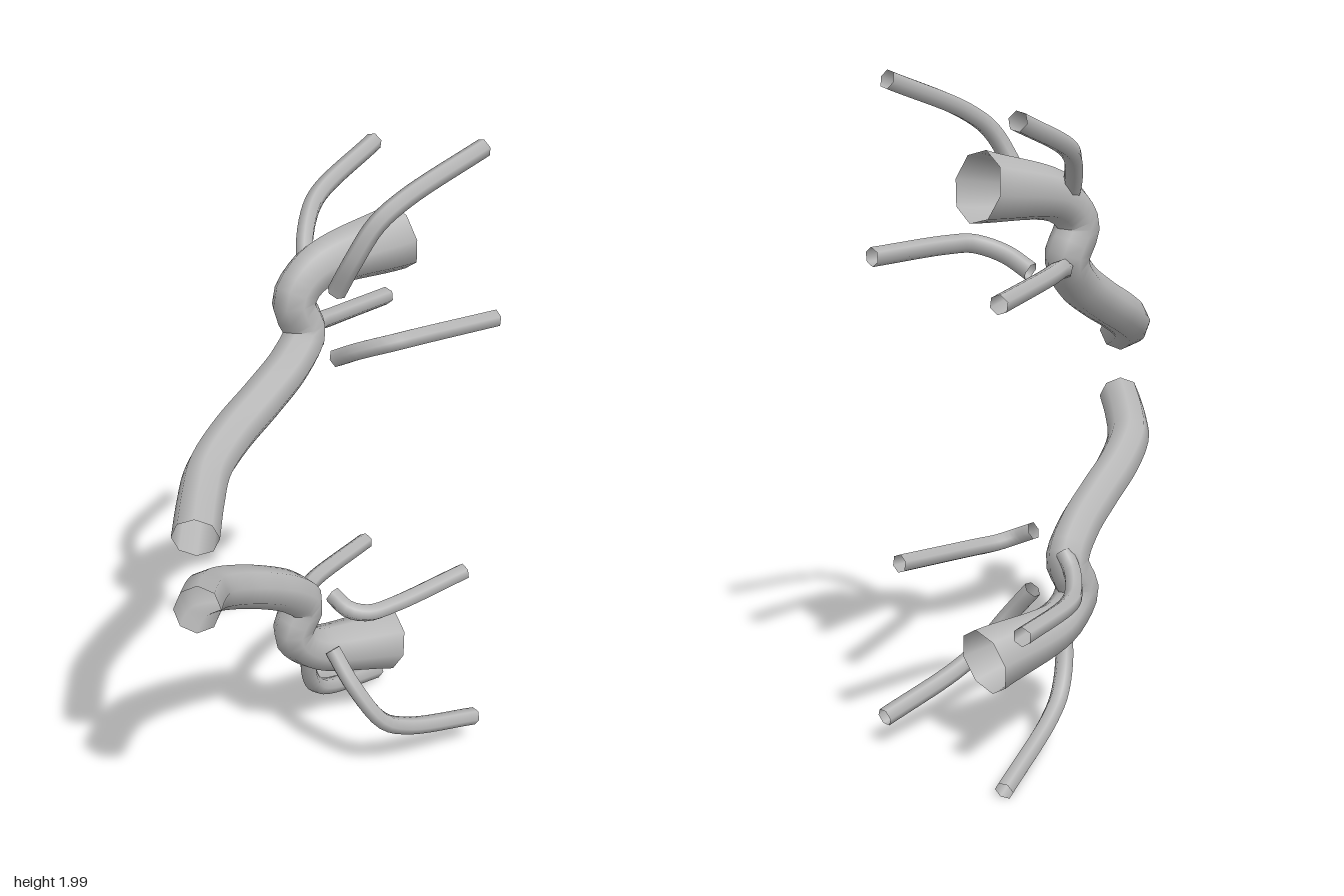
import * as THREE from 'three';

const grey = new THREE.MeshStandardMaterial({ color: 0xb8b8b8, side: THREE.DoubleSide });
grey.name = 'grey';

// Open tube through the points, with a radius that follows a rule along its length
function sweep(name, points, segments, sides, radiusAt) {
  const curve = new THREE.CatmullRomCurve3(points.map((p) => new THREE.Vector3(...p)));
  const geo = new THREE.TubeGeometry(curve, segments, 1, sides, false);
  const pos = geo.attributes.position;
  const nor = geo.attributes.normal;
  const centre = new THREE.Vector3();
  const out = new THREE.Vector3();
  for (let i = 0; i < pos.count; i++) {
    const u = Math.floor(i / (sides + 1)) / segments;
    curve.getPointAt(u, centre);
    out.fromBufferAttribute(nor, i).multiplyScalar(radiusAt(u));
    centre.add(out);
    pos.setXYZ(i, centre.x, centre.y, centre.z);
  }
  const mesh = new THREE.Mesh(geo, grey);
  mesh.name = name;
  return mesh;
}

// Kinked main pipe that widens into an open mouth
const pipePath = [
  [-0.53, 1.11, 0.297], [-0.44, 1.15, 0.19], [-0.36, 1.19, 0.11], [-0.24, 1.245, 0.05],
  [-0.1, 1.31, 0.01], [0.02, 1.38, -0.02], [0.09, 1.455, -0.045], [0.058, 1.55, -0.055],
  [0.13, 1.63, -0.055], [0.42, 1.685, -0.025],
];
const pipeRadius = (u) => 0.066 + 0.036 * Math.max(0, (u - 0.74) / 0.26);

// Each thin branch: first height, then the heights along one of four plan paths
const planPaths = {
  frontInner: [[0.115, 0.07], [0.13, 0.13], [0.18, 0.163], [0.27, 0.175], [0.56, 0.174]],
  frontOuter: [[0.11, 0.08], [0.13, 0.165], [0.19, 0.232], [0.28, 0.247], [0.56, 0.257]],
  backInner: [[0.12, -0.03], [0.13, -0.07], [0.19, -0.11], [0.27, -0.143], [0.56, -0.243]],
  backOuter: [[0.12, -0.06], [0.13, -0.1], [0.19, -0.165], [0.27, -0.22], [0.56, -0.318]],
};
const branches = [
  ['upperFrontHighBranch', 'frontInner', [1.6, 1.71, 1.81, 1.87, 1.97]],
  ['upperBackHighBranch', 'backOuter', [1.6, 1.66, 1.74, 1.79, 1.885]],
  ['upperFrontLowBranch', 'frontOuter', [1.405, 1.45, 1.48, 1.485, 1.48]],
  ['upperBackLowBranch', 'backInner', [1.41, 1.43, 1.44, 1.432, 1.407]],
  ['lowerFrontHighBranch', 'frontInner', [0.62, 0.592, 0.577, 0.58, 0.603]],
  ['lowerBackHighBranch', 'backOuter', [0.58, 0.54, 0.507, 0.5, 0.508]],
  ['lowerFrontLowBranch', 'frontOuter', [0.43, 0.33, 0.22, 0.172, 0.105]],
  ['lowerBackLowBranch', 'backInner', [0.41, 0.29, 0.18, 0.127, 0.033]],
];

export function createModel() {
  const model = new THREE.Group();
  model.name = 'branchingPipes';

  // Main pipes, the lower one mirrored about y = 1
  model.add(sweep('upperPipe', pipePath, 48, 8, pipeRadius));
  const mirrored = pipePath.map(([x, y, z]) => [x, 2 - y, z]);
  model.add(sweep('lowerPipe', mirrored, 48, 8, pipeRadius));

  // Thin branches
  for (const [name, plan, heights] of branches) {
    const points = planPaths[plan].map(([x, z], i) => [x, heights[i], z]);
    model.add(sweep(name, points, 24, 6, () => 0.028));
  }
  return model;
}
